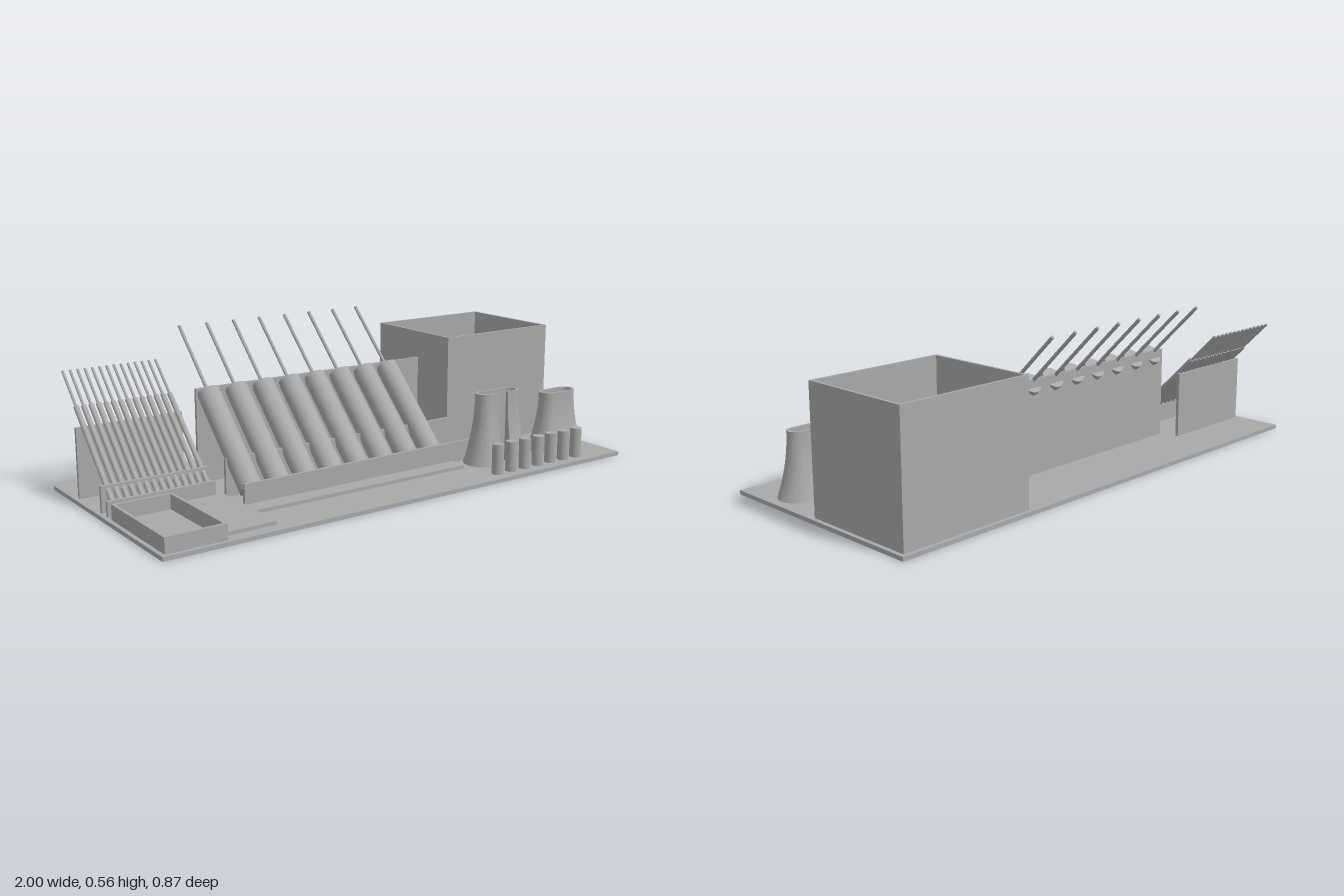
import * as THREE from 'three';
import { toCreasedNormals } from 'three/addons/utils/BufferGeometryUtils.js';

const grey = new THREE.MeshStandardMaterial({ color: 0xa8a8a8 });
grey.name = 'plain grey';
const FLOOR = 0.015;

export function createModel() {
  const model = new THREE.Group();
  model.name = 'toolOrganizer';

  const add = (name, geometry, parent = model) => {
    const mesh = new THREE.Mesh(geometry, grey);
    mesh.name = name;
    parent.add(mesh);
    return mesh;
  };
  // box given by its limits on each axis
  const block = (name, x0, x1, y0, y1, z0, z1, parent) =>
    add(name, new THREE.BoxGeometry(x1 - x0, y1 - y0, z1 - z0), parent)
      .position.set((x0 + x1) / 2, (y0 + y1) / 2, (z0 + z1) / 2);
  const group = (name) => {
    const g = new THREE.Group();
    g.name = name;
    model.add(g);
    return g;
  };

  block('basePlate', -1, 1, 0, FLOOR, -0.435, 0.435);

  // open containers: an extruded frame standing on the base
  const frame = (name, x0, x1, z0, z1, top, wall) => {
    const rect = (T, i) => new T([[x0 + i, -z1 + i], [x1 - i, -z1 + i], [x1 - i, -z0 - i], [x0 + i, -z0 - i]]
      .map(([x, y]) => new THREE.Vector2(x, y)));
    const shape = rect(THREE.Shape, 0);
    shape.holes.push(rect(THREE.Path, wall));
    const geometry = new THREE.ExtrudeGeometry(shape, { depth: top - FLOOR, bevelEnabled: false });
    geometry.rotateX(-Math.PI / 2).translate(0, FLOOR, 0);
    add(name, geometry);
  };
  frame('largeBin', 0.455, 0.985, -0.42, 0.022, 0.47, 0.011);
  frame('smallTray', -0.985, -0.765, 0.035, 0.42, 0.07, 0.011);

  // low L-shaped raised platform
  const ell = new THREE.Shape([[-0.75, -0.385], [-0.565, -0.385], [-0.565, -0.255], [0.345, -0.255],
    [0.345, -0.187], [-0.565, -0.187], [-0.565, -0.03], [-0.75, -0.03]].map(([x, y]) => new THREE.Vector2(x, y)));
  add('raisedPlatform', new THREE.ExtrudeGeometry(ell, { depth: 0.013, bevelEnabled: false })
    .rotateX(-Math.PI / 2).translate(0, FLOOR, 0));

  // rack: upright walls [z, top] carrying rows of tools leaning back at 45 degrees
  const rack = ({ name, x0, x1, walls, first, pitch, count, axis, start, handleEnd, tip, handleR, shaftR }) => {
    const g = group(name);
    walls.forEach(([z, top]) => block('rackWall', x0, x1, FLOOR, top, z - 0.006, z + 0.006, g));
    const leaning = (part, x, za, zb, r, sides) => {
      const m = add(part, new THREE.CylinderGeometry(r, r, (za - zb) * Math.SQRT2, sides), g);
      const z = (za + zb) / 2;
      m.position.set(x, axis - z, z);
      m.rotation.x = -Math.PI / 4;
    };
    for (let i = 0; i < count; i++) {
      const x = first + i * pitch;
      leaning('toolHandle', x, start, handleEnd, handleR, 32);
      leaning('toolShaft', x, handleEnd, tip, shaftR, 16);
    }
  };
  rack({
    name: 'largeToolRack', x0: -0.56, x1: 0.45, walls: [[0.166, 0.095], [0.038, 0.155], [-0.165, 0.365]],
    first: -0.513, pitch: 0.1306 * 0.87 + 0.0167 * 0.02, count: 8, axis: 0.195, start: 0.136, handleEnd: -0.155,
    tip: -0.364, handleR: 0.042, shaftR: 0.0065,
  });
  rack({
    name: 'smallToolRack', x0: -0.985, x1: -0.58, walls: [[-0.001, 0.07], [-0.05, 0.11], [-0.239, 0.27]],
    first: -0.958, pitch: 0.0275, count: 14, axis: 0.045, start: -0.002, handleEnd: -0.286,
    tip: -0.393, handleR: 0.0095, shaftR: 0.005,
  });

  // row of short pegs
  const pegs = group('pegs');
  for (let i = 0; i < 7; i++) {
    add('peg', new THREE.CylinderGeometry(0.022, 0.022, 0.115, 32), pegs)
      .position.set(0.405 + i * 0.068, FLOOR + 0.0575, 0.378);
  }

  // flared oblong holder, hollow, with an optional slot of half width gap in its front
  const flaredHolder = (name, cx, cz, half, top, gap) => {
    const path = [[gap, 0, 1]]; // x of centre line, then normal x and z
    const arc = 20, levels = 14;
    for (const side of [1, -1]) {
      for (let i = 0; i <= arc; i++) {
        const a = Math.PI * i / arc;
        path.push([side * half, side * Math.sin(a), side * Math.cos(a)]);
      }
    }
    path.push([-gap, 0, 1]);
    const profile = [];
    for (let i = 0; i <= levels; i++) {
      const t = i / levels;
      profile.push([0.035 + 0.041 * (1 - t) ** 2, FLOOR + t * (top - FLOOR)]);
    }
    for (let i = levels; i >= 0; i--) profile.push([0.025, profile[i][1]]);

    const pos = [], index = [], n = profile.length;
    for (const [x, nx, nz] of path) {
      for (const [r, y] of profile) pos.push(cx + x + nx * r, y, cz + nz * r);
    }
    for (let u = 0; u < path.length - 1; u++) {
      for (let v = 0; v < n - 1; v++) {
        const a = u * n + v, b = a + n;
        index.push(a, b, b + 1, a, b + 1, a + 1);
      }
    }
    // cheeks of the slot
    if (gap > 0) {
      const e = (path.length - 1) * n;
      for (let v = 0; v < levels; v++) {
        const o = v, p = v + 1, i = n - 1 - v, j = n - 2 - v;
        index.push(i, o, p, i, p, j, e + i, e + p, e + o, e + i, e + j, e + p);
      }
    }
    const geometry = new THREE.BufferGeometry();
    geometry.setAttribute('position', new THREE.Float32BufferAttribute(pos, 3));
    geometry.setIndex(index);
    add(name, toCreasedNormals(geometry, 0.6));
  };
  flaredHolder('slottedHolder', 0.524, 0.234, 0.064, 0.288, 0.024);
  flaredHolder('closedHolder', 0.845, 0.234, 0.048, 0.25, 0);

  return model;
}
